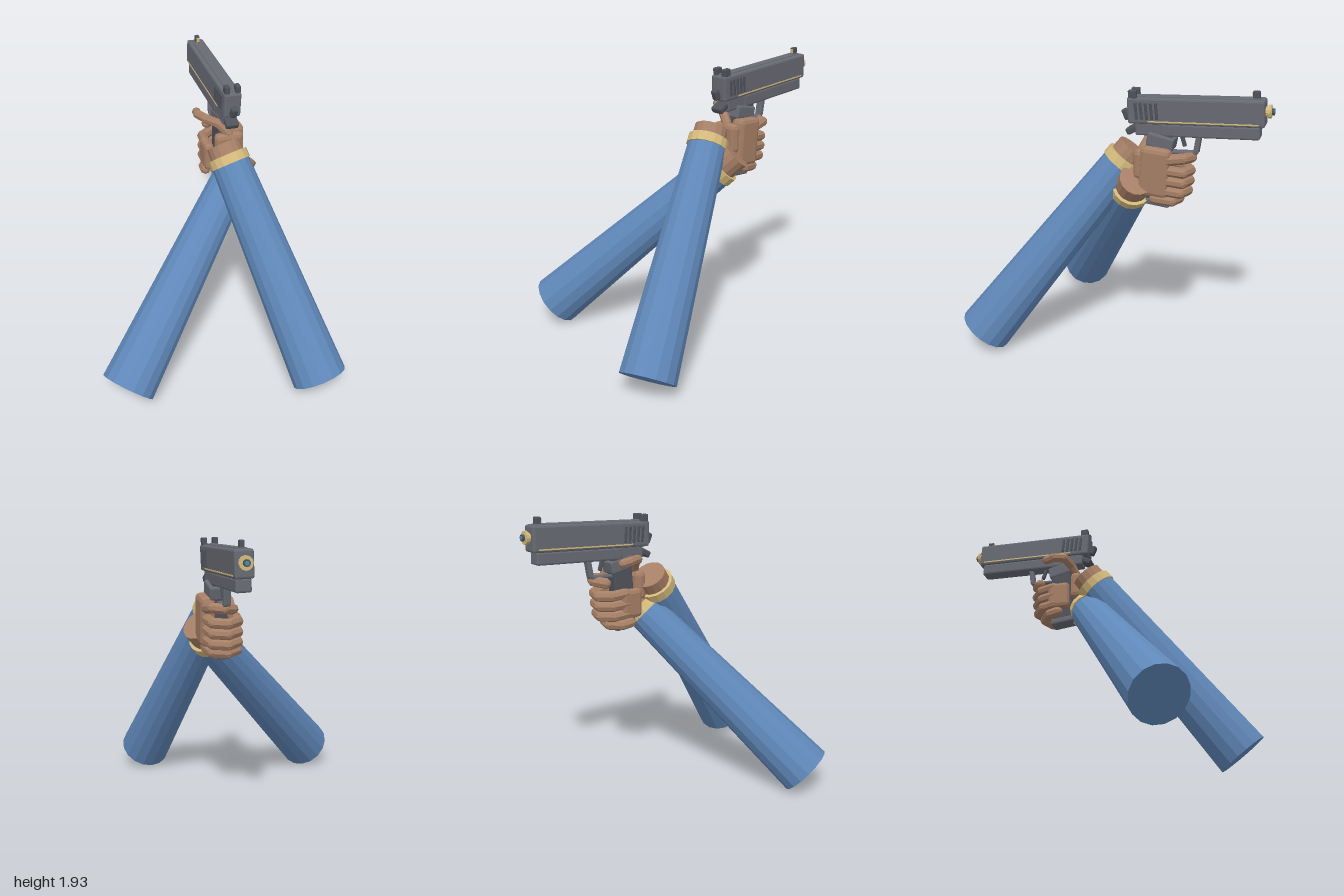
import * as THREE from 'three';
import { RoundedBoxGeometry } from 'three/addons/geometries/RoundedBoxGeometry.js';

const mat = (name, color) => {
  const m = new THREE.MeshStandardMaterial({ color, flatShading: true });
  m.name = name;
  return m;
};
const V = (x, y, z) => new THREE.Vector3(x, y, z);

export function createModel() {
  const model = new THREE.Group();
  model.name = 'armsWithPistol';
  const blue = mat('sleeveBlue', 0x5f87b8);
  const skin = mat('skin', 0xa67f66);
  const gold = mat('gold', 0xd3ba7c);
  const steel = mat('steel', 0x686a73);
  const dark = mat('darkSteel', 0x50525b);
  const glow = mat('muzzleBlue', 0x3f8fb5);

  const add = (parent, name, geo, material, pos = [0, 0, 0], rot = [0, 0, 0]) => {
    const m = new THREE.Mesh(geo, material);
    m.name = name;
    m.position.set(...pos);
    m.rotation.set(...rot);
    parent.add(m);
    return m;
  };
  const box = (parent, name, size, material, pos, rot, bevel = 0.012) =>
    add(parent, name, new RoundedBoxGeometry(...size, 1, bevel), material, pos, rot);

  // Arms: tapered sleeve, gold cuff and bare wrist along one axis
  const arm = (name, base, cuff, wristLength) => {
    const g = new THREE.Group();
    g.name = name;
    g.position.copy(base);
    const axis = cuff.clone().sub(base);
    const len = axis.length();
    g.quaternion.setFromUnitVectors(V(0, 1, 0), axis.normalize());
    const tube = (part, r0, r1, y0, y1, m) =>
      add(g, part, new THREE.CylinderGeometry(r1, r0, y1 - y0, 16), m, [0, (y0 + y1) / 2, 0]);
    tube('sleeve', 0.187, 0.132, 0, len - 0.03, blue);
    tube('cuff', 0.141, 0.139, len - 0.035, len + 0.03, gold);
    tube('wrist', 0.118, 0.114, len, len + wristLength, skin);
    model.add(g);
  };
  arm('leftArm', V(0.64, 0.128, 0.84), V(0.13, 1.39, -0.02), 0.11);
  arm('rightArm', V(-0.66, 0.14, 0.77), V(0.165, 1.215, -0.095), 0.15);

  // Pistol, built facing -z around the slide centre
  const gun = new THREE.Group();
  gun.name = 'pistol';
  gun.position.set(0.085, 1.778, -0.515);
  gun.rotation.set(0.05, 0.175, -0.025, 'YXZ');
  model.add(gun);
  box(gun, 'slide', [0.12, 0.172, 0.885], steel, [0, 0, 0], [0, 0, 0], 0.014);
  box(gun, 'slideRib', [0.06, 0.012, 0.82], steel, [0, 0.087, 0], [0, 0, 0], 0.004);
  box(gun, 'dustCover', [0.1, 0.085, 0.64], steel, [0, -0.125, -0.09]);
  box(gun, 'frame', [0.095, 0.09, 0.3], steel, [0, -0.12, 0.25]);
  box(gun, 'gripShoulder', [0.125, 0.09, 0.18], steel, [0.01, -0.2, 0.23], [-0.25, 0, 0]);
  box(gun, 'grip', [0.095, 0.5, 0.15], dark, [0, -0.39, 0.255], [-0.12, 0, 0]);
  box(gun, 'magazineBase', [0.11, 0.045, 0.17], steel, [0, -0.625, 0.275], [-0.15, 0, 0]);
  box(gun, 'hammer', [0.046, 0.075, 0.045], dark, [0, -0.035, 0.465], [0.35, 0, 0]);
  box(gun, 'beavertail', [0.09, 0.045, 0.085], dark, [0, -0.132, 0.425], [0.45, 0, 0]);
  box(gun, 'guardFront', [0.05, 0.12, 0.035], steel, [0, -0.22, -0.005], [-0.2, 0, 0], 0.008);
  box(gun, 'guardBottom', [0.05, 0.022, 0.19], steel, [0, -0.278, 0.09], [0, 0, 0], 0.008);
  box(gun, 'trigger', [0.025, 0.08, 0.025], dark, [0, -0.2, 0.09], [0.25, 0, 0], 0.006);
  // Details on both flanks of the slide
  for (const s of [-1, 1]) {
    for (let i = 0; i < 5; i++) {
      box(gun, 'serration', [0.012, 0.11, 0.019], dark,
        [s * 0.061, 0.002, 0.382 - i * 0.034], [0.05, 0, 0], 0.004);
    }
    add(gun, 'goldLine', new THREE.BoxGeometry(0.006, 0.009, 0.71), gold, [s * 0.06, -0.066, -0.05]);
    box(gun, 'rearSight', [0.034, 0.055, 0.055], dark, [s * 0.037, 0.105, 0.405], [0, 0, 0], 0.006);
  }
  box(gun, 'frontSight', [0.03, 0.055, 0.045], dark, [0, 0.108, -0.385], [0, 0, 0], 0.006);
  add(gun, 'frontSightDot', new THREE.BoxGeometry(0.02, 0.03, 0.006), gold, [0, 0.112, -0.361]);
  // Muzzle
  const ring = (name, r, len, z, m) =>
    add(gun, name, new THREE.CylinderGeometry(r, r, len, 12), m, [0, 0.008, z], [Math.PI / 2, 0, 0]);
  ring('barrel', 0.032, 0.05, -0.455, gold);
  ring('muzzleRing', 0.044, 0.017, -0.468, gold);
  ring('muzzleTip', 0.022, 0.022, -0.484, dark);
  ring('muzzleCore', 0.013, 0.004, -0.496, glow);

  // Hand: palm plus fingers made of jointed capsules
  const hand = new THREE.Group();
  hand.name = 'hand';
  model.add(hand);
  const finger = (name, r, pts) => {
    for (let i = 0; i + 1 < pts.length; i++) {
      const a = V(...pts[i]), b = V(...pts[i + 1]);
      const m = add(hand, name, new THREE.CapsuleGeometry(r, a.distanceTo(b), 3, 8), skin);
      m.position.copy(a).lerp(b, 0.5);
      m.quaternion.setFromUnitVectors(V(0, 1, 0), b.sub(a).normalize());
    }
  };
  box(hand, 'palm', [0.1, 0.33, 0.2], skin, [0.2, 1.37, -0.285], [-0.08, 0.175, 0], 0.03);
  box(hand, 'palmHeel', [0.2, 0.2, 0.08], skin, [0.15, 1.41, -0.17], [0, 0.175, 0], 0.03);
  box(hand, 'supportPalm', [0.07, 0.2, 0.16], skin, [0.01, 1.31, -0.26], [0, 0.175, 0], 0.028);
  finger('indexFinger', 0.036, [[0.2, 1.46, -0.37], [0.165, 1.475, -0.475], [0.09, 1.47, -0.495], [0.03, 1.46, -0.43]]);
  // Wrapped fingers, stacked down the grip
  [[1.375, 0], [1.305, 0.005], [1.235, 0.015], [1.17, 0.075]].forEach(([y, back]) => {
    finger('wrappedFinger', 0.036, [
      [0.2, y + 0.015, -0.36 + back], [0.16, y, -0.465 + back], [0.06, y - 0.005, -0.475 + back],
      [-0.005, y, -0.4 + back], [0.0, y + 0.01, -0.3 + back * 0.5],
    ]);
  });
  // Thumb curling over the back of the grip
  finger('thumb', 0.032, [
    [0.15, 1.5, -0.17], [0.08, 1.575, -0.19], [-0.005, 1.61, -0.21], [-0.05, 1.61, -0.28], [-0.052, 1.6, -0.335],
  ]);
  return model;
}
